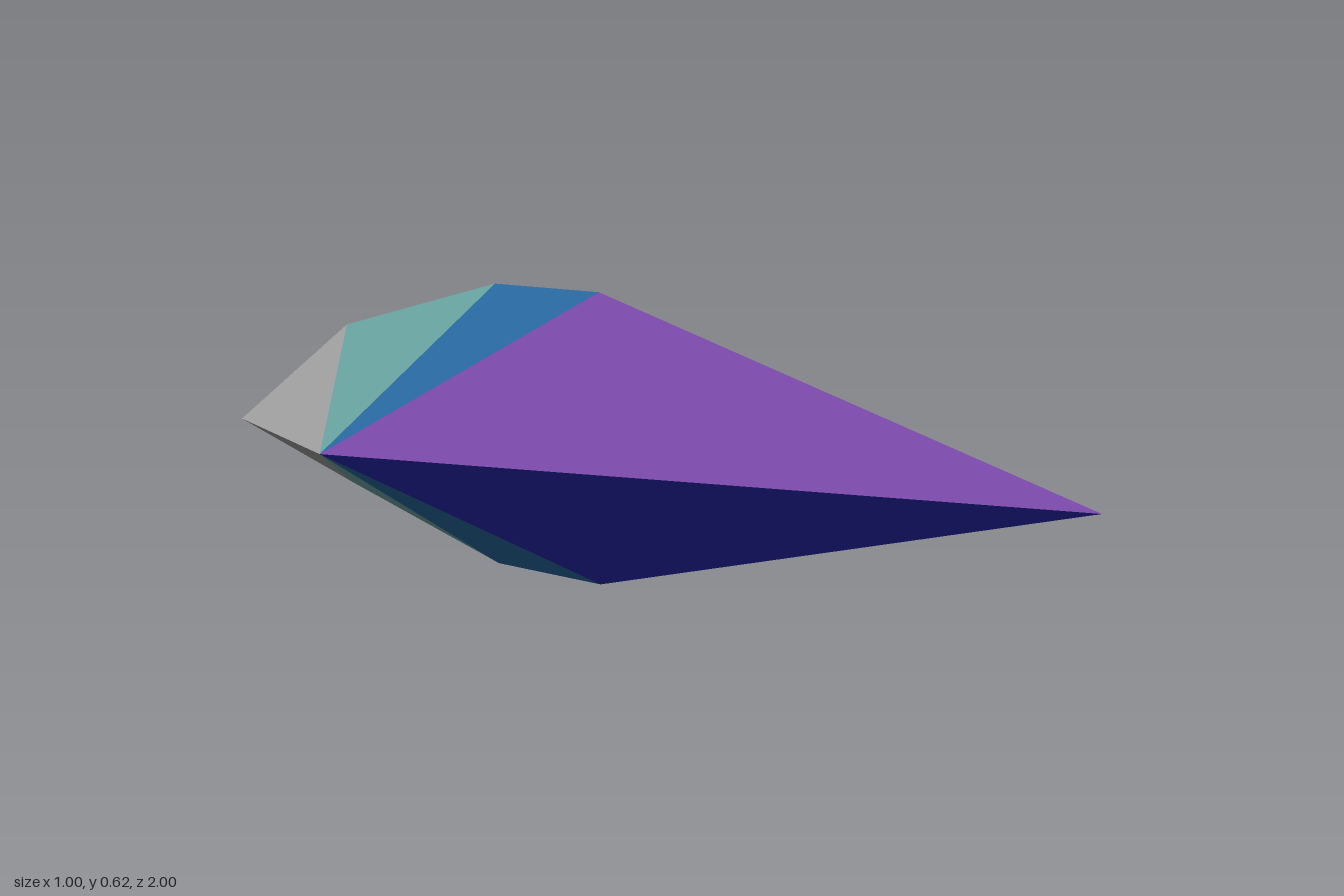
import * as THREE from 'three';

const mat = (name, color) => {
  const m = new THREE.MeshStandardMaterial({ color });
  m.name = name;
  return m;
};

export function createModel() {
  const group = new THREE.Group();
  group.name = 'facetedShip';

  const blue = mat('deep blue', 0x2424a6);
  const purple = mat('purple', 0x662299);
  const steel = mat('steel blue', 0x246399);
  const teal = mat('teal', 0x649e9b);
  const gray = mat('light gray', 0x999999);
  const dark = mat('dark gray', 0x525252);
  const mid = mat('port gray', 0x7a7a7a);

  const midY = 0.3125;
  const centre = new THREE.Vector3(0, midY, -0.4);

  // One flat facet, wound so that it faces away from the hull centre
  const facet = (name, material, a, b, c) => {
    const [p, q, r] = [a, b, c].map((v) => new THREE.Vector3(...v));
    const normal = q.clone().sub(p).cross(r.clone().sub(p));
    const pts = normal.dot(p.clone().sub(centre)) > 0 ? [p, q, r] : [p, r, q];
    const geo = new THREE.BufferGeometry().setFromPoints(pts);
    geo.computeVertexNormals();
    const mesh = new THREE.Mesh(geo, material);
    mesh.name = name;
    group.add(mesh);
  };

  // Four mirrored quarters of the hull
  for (const sx of [1, -1]) {
    for (const sy of [1, -1]) {
      const nose = [0, midY, 1];
      const ridgeFront = [0, midY + sy * 0.3125, -0.19];
      const ridgeRear = [0, midY + sy * 0.3125, -0.5];
      const wing = [sx * 0.5, midY, -0.5];
      const tailRidge = [0, midY + sy * 0.1875, -1];
      const tailSide = [sx * 0.3125, midY, -1];

      facet('nosePanel', sx * sy > 0 ? blue : purple, nose, ridgeFront, wing);
      facet('shoulderPanel', steel, ridgeFront, ridgeRear, wing);
      facet('rearPanel', teal, ridgeRear, tailRidge, wing);
      facet('tailSidePanel', gray, tailRidge, tailSide, wing);
      facet('tailPlate', dark, tailRidge, tailSide, [0, midY, -1]);
    }
  }

  // Small round port on the tail
  const port = new THREE.Mesh(new THREE.CircleGeometry(0.05, 10), mid);
  port.name = 'tailPort';
  port.rotation.y = Math.PI;
  port.position.set(0, midY, -1.002);
  group.add(port);

  return group;
}
